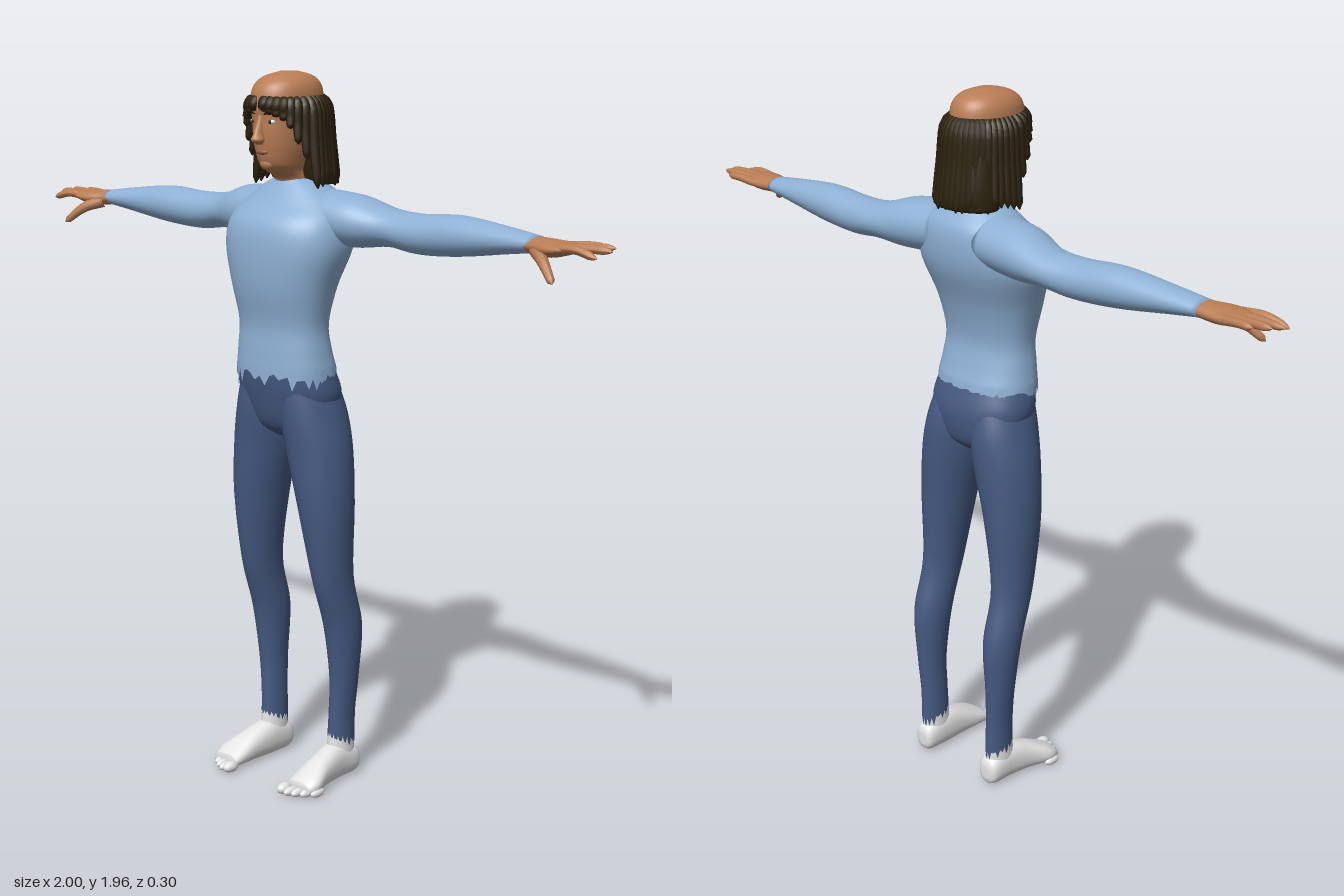
import * as THREE from 'three';

const paint = (name, hex) => {
  const m = new THREE.MeshStandardMaterial({ color: hex });
  m.name = name;
  return m;
};

// Small repeatable noise in 0..1
const noise = (i) => {
  const s = Math.sin(i * 127.1 + 11.7) * 43758.5453;
  return s - Math.floor(s);
};

// Smooth blend through rows of numbers
function smoothRows(rows, steps) {
  const out = [];
  const at = (i) => rows[Math.max(0, Math.min(rows.length - 1, i))];
  for (let i = 0; i < rows.length - 1; i++) {
    for (let s = 0; s < steps; s++) {
      const t = s / steps;
      out.push(rows[i].map((b, k) => {
        const a = at(i - 1)[k], c = at(i + 1)[k], d = at(i + 2)[k];
        return 0.5 * (2 * b + (c - a) * t + (2 * a - 5 * b + 4 * c - d) * t * t + (3 * b - a - 3 * c + d) * t ** 3);
      }));
    }
  }
  out.push(rows[rows.length - 1]);
  return out;
}

// Skin over oval sections [position, centreU, centreV, radiusU, radiusV] along an axis.
// u,v are z,x for axis y; y,z for axis x; x,y for axis z. "hem" shifts the first ring.
function loft(axis, rows, { steps = 5, sides = 36, power = 2, hem = null } = {}) {
  const rings = smoothRows(rows, steps), pos = [], idx = [];
  const place = (p, u, v) => {
    if (axis === 'y') pos.push(v, p, u);
    else if (axis === 'x') pos.push(p, u, v);
    else pos.push(u, v, p);
  };
  const bend = (c) => Math.sign(c) * Math.abs(c) ** (2 / power);
  rings.forEach(([p, cu, cv, ru, rv], i) => {
    for (let j = 0; j < sides; j++) {
      const a = (j / sides) * Math.PI * 2;
      place(p + (hem && i === 0 ? hem(j, a) : 0), cu + ru * bend(Math.cos(a)), cv + rv * bend(Math.sin(a)));
    }
  });
  const n = rings.length;
  for (let i = 0; i < n - 1; i++) {
    for (let j = 0; j < sides; j++) {
      const k = (j + 1) % sides, a = i * sides + j, b = i * sides + k;
      idx.push(a, b, b + sides, a, b + sides, a + sides);
    }
  }
  const first = rings[0], last = rings[n - 1];
  place(first[0], first[1], first[2]);
  place(last[0], last[1], last[2]);
  for (let j = 0; j < sides; j++) {
    const k = (j + 1) % sides, top = (n - 1) * sides;
    if (!hem) idx.push(n * sides, k, j);
    idx.push(n * sides + 1, top + j, top + k);
  }
  const g = new THREE.BufferGeometry();
  g.setAttribute('position', new THREE.Float32BufferAttribute(pos, 3));
  g.setIndex(idx);
  g.computeVertexNormals();
  return g;
}

// Tube whose thickness follows radiusAt(t)
function taper(points, radiusAt, segs = 12, sides = 10) {
  const curve = new THREE.CatmullRomCurve3(points.map((p) => new THREE.Vector3(...p)));
  const g = new THREE.TubeGeometry(curve, segs, 1, sides), pos = g.attributes.position, v = new THREE.Vector3();
  for (let i = 0; i < pos.count; i++) {
    const t = Math.floor(i / (sides + 1)) / segs, c = curve.getPointAt(t);
    v.fromBufferAttribute(pos, i).sub(c).multiplyScalar(radiusAt(t)).add(c);
    pos.setXYZ(i, v.x, v.y, v.z);
  }
  g.computeVertexNormals();
  return g;
}

const blob = (x, y, z, rx, ry, rz) => new THREE.SphereGeometry(1, 18, 12).scale(rx, ry, rz).translate(x, y, z);

// Copy on the other side of x = 0 with the face order restored
function mirrored(g) {
  const m = g.clone().scale(-1, 1, 1), ix = m.index;
  for (let i = 0; i < ix.count; i += 3) {
    const b = ix.getX(i + 1);
    ix.setX(i + 1, ix.getX(i + 2));
    ix.setX(i + 2, b);
  }
  return m;
}

export function createModel() {
  const model = new THREE.Group();
  const skin = paint('skin', 0xb97d55), hair = paint('hair', 0x2b200c), shirt = paint('shirt blue', 0x8eb0d4);
  const trousers = paint('trouser blue', 0x465a82), white = paint('sock white', 0xe4e4e4), lip = paint('lip', 0x9a5d45);
  shirt.side = trousers.side = THREE.DoubleSide;
  const add = (name, g, mat) => {
    const m = new THREE.Mesh(g, mat);
    m.name = name;
    model.add(m);
  };
  const pair = (name, g, mat) => {
    add('left ' + name, g, mat);
    add('right ' + name, mirrored(g), mat);
  };

  // Shirt with a ragged hem
  add('shirt body', loft('y', [
    [1.175, 0.011, 0, 0.105, 0.150], [1.23, 0.018, 0, 0.095, 0.142], [1.3, 0.022, 0, 0.089, 0.137],
    [1.4, 0.020, 0, 0.110, 0.158], [1.5, 0.002, 0, 0.132, 0.188], [1.57, -0.010, 0, 0.130, 0.182],
    [1.62, -0.030, 0, 0.103, 0.152], [1.655, -0.030, 0, 0.076, 0.105], [1.68, -0.028, 0, 0.057, 0.058],
  ], { sides: 64, power: 2.25, hem: (j) => -0.055 * noise(j) * (j % 2 ? 1 : 0.35) }), shirt);
  pair('sleeve', loft('x', [
    [0.08, 1.585, -0.045, 0.07, 0.085], [0.2, 1.576, -0.055, 0.069, 0.084], [0.3, 1.566, -0.073, 0.05, 0.068],
    [0.4, 1.558, -0.07, 0.052, 0.06], [0.53, 1.565, -0.066, 0.052, 0.056], [0.68, 1.568, -0.06, 0.034, 0.045],
    [0.775, 1.568, -0.055, 0.021, 0.038],
  ]), shirt);

  // Trousers: hips, seat and legs with ragged ankles
  add('hips', loft('y', [
    [0.985, -0.015, 0, 0.05, 0.03], [1.02, -0.012, 0, 0.088, 0.115], [1.1, -0.006, 0, 0.106, 0.155],
    [1.17, 0.010, 0, 0.102, 0.147], [1.21, 0.014, 0, 0.094, 0.138],
  ], { sides: 48, power: 2.2 }), trousers);
  pair('leg', loft('y', [
    [0.135, -0.075, 0.13, 0.045, 0.031], [0.2, -0.076, 0.132, 0.044, 0.031], [0.3, -0.078, 0.137, 0.047, 0.036],
    [0.45, -0.07, 0.138, 0.06, 0.048], [0.6, -0.03, 0.135, 0.066, 0.05], [0.8, -0.017, 0.122, 0.084, 0.073],
    [0.95, -0.015, 0.1, 0.095, 0.087], [1.05, -0.01, 0.083, 0.1, 0.083], [1.13, 0, 0.073, 0.09, 0.07],
  ], { hem: (j, a) => 0.015 * (Math.cos(a) - 1) - 0.035 * noise(j + 5) * (j % 2) }), trousers);

  // Feet
  pair('ankle', loft('y', [
    [0.04, -0.07, 0.13, 0.05, 0.035], [0.1, -0.073, 0.13, 0.045, 0.031], [0.18, -0.075, 0.13, 0.041, 0.028],
  ]), white);
  pair('foot', loft('z', [
    [-0.13, 0.128, 0.042, 0.015, 0.02], [-0.115, 0.13, 0.044, 0.033, 0.041], [-0.05, 0.13, 0.052, 0.037, 0.052],
    [0.02, 0.136, 0.043, 0.041, 0.043], [0.08, 0.145, 0.029, 0.049, 0.029], [0.115, 0.142, 0.02, 0.042, 0.018],
  ], { power: 2.3 }), white);
  for (let i = 0; i < 5; i++) {
    const s = i === 0 ? 0.016 : 0.012;
    pair('toe ' + (i + 1), blob(0.106 + i * 0.0205, s, 0.13 - i * i * 0.0028, s, s, 0.026), white);
  }

  // Hands
  pair('palm', loft('x', [
    [0.72, 1.568, -0.055, 0.016, 0.034], [0.78, 1.566, -0.052, 0.021, 0.038], [0.83, 1.564, -0.045, 0.022, 0.048],
    [0.875, 1.567, -0.047, 0.015, 0.05], [0.895, 1.569, -0.05, 0.007, 0.042],
  ]), skin);
  const fingers = [[-0.088, 0.945, 1.572, -0.098], [-0.064, 0.985, 1.575, -0.078], [-0.038, 0.998, 1.571, -0.046], [-0.012, 0.982, 1.556, -0.006]];
  const fingerRadius = (t) => (t > 0.99 ? 0.001 : t > 0.9 ? 0.007 : 0.0125 - 0.003 * t);
  fingers.forEach(([z, x, y, tipZ], i) => {
    pair('finger ' + (i + 1), taper([[0.85, 1.567, z], [(0.85 + x) / 2, 1.572, (z + tipZ) / 2], [x, y, tipZ]], fingerRadius), skin);
  });
  pair('thumb', taper([[0.79, 1.557, -0.03], [0.835, 1.537, 0.005], [0.887, 1.492, 0.036]],
    (t) => (t > 0.99 ? 0.001 : 0.019 - 0.01 * t)), skin);

  // Neck, head and face
  add('head', loft('y', [
    [1.6, -0.03, 0, 0.05, 0.052], [1.675, -0.022, 0, 0.056, 0.051], [1.7, 0.0, 0, 0.07, 0.049],
    [1.72, 0.014, 0, 0.08, 0.055], [1.76, 0.014, 0, 0.092, 0.066], [1.8, 0.011, 0, 0.1, 0.072],
    [1.84, 0.009, 0, 0.103, 0.076], [1.88, 0.009, 0, 0.108, 0.08], [1.92, 0.007, 0, 0.1, 0.075],
    [1.945, 0.003, 0, 0.073, 0.055], [1.958, 0.002, 0, 0.025, 0.02],
  ], { power: 2.15 }), skin);
  add('chin', blob(0, 1.722, 0.08, 0.025, 0.018, 0.019), skin);
  add('nose', loft('y', [
    [1.773, 0.113, 0, 0.006, 0.008], [1.784, 0.118, 0, 0.02, 0.017], [1.8, 0.114, 0, 0.019, 0.012],
    [1.825, 0.108, 0, 0.014, 0.009], [1.85, 0.105, 0, 0.008, 0.009],
  ], { sides: 16 }), skin);
  add('lips', blob(0, 1.753, 0.104, 0.021, 0.007, 0.008), lip);
  pair('ear', blob(0.078, 1.8, 0.004, 0.012, 0.032, 0.018), skin);
  pair('eye', blob(0.031, 1.832, 0.1, 0.013, 0.006, 0.007), white);
  pair('pupil', blob(0.031, 1.832, 0.105, 0.005, 0.0055, 0.004), hair);
  pair('eyebrow', taper([[0.012, 1.85, 0.111], [0.03, 1.857, 0.107], [0.05, 1.851, 0.092]], (t) => 0.001 + 0.005 * Math.sin(Math.PI * t)), hair);

  // Long hair below a bald crown: inner mass, back locks and parted fringe
  add('hair mass', loft('y', [
    [1.665, -0.068, 0, 0.066, 0.1], [1.72, -0.062, 0, 0.074, 0.1], [1.8, -0.052, 0, 0.074, 0.094],
    [1.87, -0.035, 0, 0.079, 0.087], [1.895, -0.025, 0, 0.074, 0.079],
  ]), hair);
  const ring = (phi, k, y) => [Math.sin(phi) * 0.083 * k, y, 0.006 + Math.cos(phi) * 0.108 * k];
  const lock = (phi, end, flare, thick) => taper([
    ring(phi, 0.93, 1.893), ring(phi, 1.07, 1.874), ring(phi, 1 + flare * 0.55, (1.874 + end) / 2), ring(phi, 1 + flare, end),
  ], (t) => thick * Math.min(1, 0.55 + t * 4) * (t > 0.99 ? 0.1 : 1 - 0.45 * t ** 3), 14, 8);
  for (let i = 0; i < 13; i++) {
    const phi = THREE.MathUtils.degToRad(88 + i * 7.6);
    pair('back lock ' + (i + 1), lock(phi, 1.655 + 0.025 * noise(i + 30), 0.34 + 0.05 * noise(i), 0.0155), hair);
  }
  const fringe = [[12, 1.862], [23, 1.852], [34, 1.845], [45, 1.835], [55, 1.815], [65, 1.775], [76, 1.735]];
  fringe.forEach(([deg, end], i) => {
    pair('fringe lock ' + (i + 1), lock(THREE.MathUtils.degToRad(deg), end, 0.1 + i * 0.025, 0.0145), hair);
  });
  return model;
}
